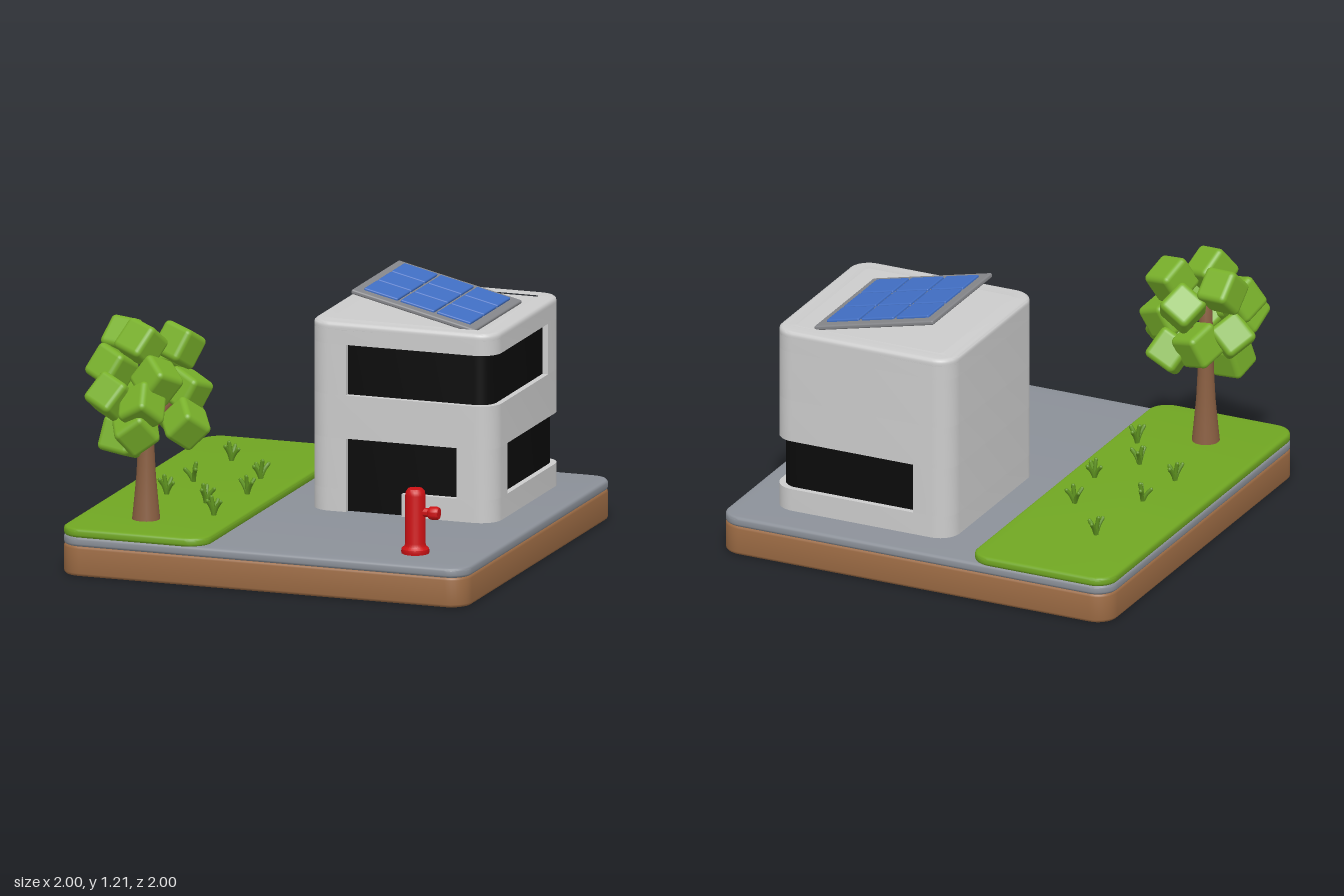
import * as THREE from 'three';
import { toCreasedNormals } from 'three/addons/utils/BufferGeometryUtils.js';
import { RoundedBoxGeometry } from 'three/addons/geometries/RoundedBoxGeometry.js';

const mat = (color) => new THREE.MeshStandardMaterial({ color });
const M = {
  earth: mat(0x9c6b44), paving: mat(0x8b9098), lawn: mat(0x70a622), leaf: mat(0x78b02a),
  blade: mat(0x5f9420), bark: mat(0x8a5f42), wall: mat(0xcccccc), glass: mat(0x0a0a0a),
  frame: mat(0x85868a), cell: mat(0x416fc4), red: mat(0xcc1114),
};

let seed = 7;
const rand = () => (seed = (seed * 16807) % 2147483647) / 2147483647;

function add(parent, name, geometry, material, x = 0, y = 0, z = 0) {
  const mesh = new THREE.Mesh(geometry, material);
  mesh.name = name;
  mesh.position.set(x, y, z);
  parent.add(mesh);
  return mesh;
}

// Plan outline from [x, z, cornerRadius] points
function outline(points, Type = THREE.Shape) {
  const path = new Type();
  points.forEach(([x, z, r = 0], i) => {
    const p = new THREE.Vector2(x, -z);
    const toward = ([nx, nz], d) =>
      new THREE.Vector2(nx, -nz).sub(p).normalize().multiplyScalar(d).add(p);
    const prev = points[(i + points.length - 1) % points.length];
    const next = points[(i + 1) % points.length];
    const a = toward(prev, r), b = toward(next, r);
    if (i) path.lineTo(a.x, a.y); else path.moveTo(a.x, a.y);
    if (r) {
      const c = toward(prev, r * 0.4477), d = toward(next, r * 0.4477);
      path.bezierCurveTo(c.x, c.y, d.x, d.y, b.x, b.y);
    }
  });
  path.closePath();
  return path;
}

const rect = (x0, x1, z0, z1, r) => [[x0, z0, r], [x1, z0, r], [x1, z1, r], [x0, z1, r]];

// Plan shape raised from y0 to y1, with optional rounded edges
function slab(shape, y0, y1, bevel = 0) {
  const g = new THREE.ExtrudeGeometry(shape, {
    depth: y1 - y0 - 2 * bevel, curveSegments: 10, bevelEnabled: bevel > 0,
    bevelSize: bevel, bevelThickness: bevel, bevelOffset: -bevel, bevelSegments: 3,
  });
  g.translate(0, 0, bevel).rotateX(-Math.PI / 2).translate(0, y0, 0);
  return toCreasedNormals(g, 0.6);
}

function ground() {
  const g = new THREE.Group();
  g.name = 'ground';
  add(g, 'earth', slab(outline(rect(-1, 1, -1, 1, 0.1)), 0, 0.145, 0.015), M.earth);
  add(g, 'paving', slab(outline(rect(-1, 1, -1, 1, 0.1)), 0.14, 0.187, 0.014), M.paving);
  add(g, 'lawn', slab(outline(rect(-1, -0.28, -1, 1, 0.1)), 0.182, 0.225, 0.014), M.lawn);
  return g;
}

function building() {
  const g = new THREE.Group();
  g.name = 'building';
  const L = -0.1, R = 0.815, B = -0.815, F = 0.1, r = 0.1;
  const wall = (name, pts, y0, y1) => add(g, name, slab(outline(pts), y0, y1), M.wall);
  const full = rect(L, R, B, F, r);

  add(g, 'glass', slab(outline(rect(L + 0.028, R - 0.028, B + 0.028, F - 0.028, 0.08)), 0.187, 1.0), M.glass);

  // Plinth with the doorway cut into the front
  wall('plinth', [[L, B, r], [R, B, r], [R, F, r], [0.36, F], [0.36, 0.03], [0.085, 0.03], [0.085, F], [L, F, r]], 0.187, 0.295);
  // Lower storey: window wraps round the back corner
  wall('lowerWall', [[0.085, F], [L, F, r], [L, B, r], [0.09, B], [0.09, -0.7], [0.085, 0]], 0.295, 0.535);
  wall('cornerPier', [[R, -0.08], [R, F, r], [0.63, F], [0.63, 0], [0.7, -0.08]], 0.295, 0.535);
  wall('middleBand', full, 0.535, 0.74);
  // Upper storey: window wraps round the front corner
  wall('upperWall', [[0.085, F], [L, F, r], [L, B, r], [R, B, r], [R, -0.62], [0.7, -0.62], [0.085, 0]], 0.74, 0.98);
  wall('roof', full, 0.98, 1.055);

  const rim = outline(full);
  rim.holes.push(outline(rect(L + 0.065, R - 0.065, B + 0.065, F - 0.065, 0.04), THREE.Path));
  add(g, 'parapet', slab(rim, 1.03, 1.082, 0.018), M.wall);
  return g;
}

function solarPanel() {
  const g = new THREE.Group();
  g.name = 'solarPanel';
  add(g, 'panelFrame', new RoundedBoxGeometry(0.626, 0.022, 0.63, 2, 0.008), M.frame);
  for (let i = -1; i <= 1; i++)
    for (let j = -1; j <= 1; j++)
      add(g, 'solarCell', new RoundedBoxGeometry(0.17, 0.02, 0.17, 2, 0.006), M.cell, i * 0.184, 0.012, j * 0.182);
  g.position.set(0.362, 1.128, -0.36);
  g.rotation.z = -0.228;
  return g;
}

function tree() {
  const g = new THREE.Group();
  g.name = 'tree';
  const profile = [[0.066, 0], [0.056, 0.1], [0.045, 0.22], [0.037, 0.38], [0.036, 0.5], [0.028, 0.7], [0, 0.72]];
  add(g, 'trunk', new THREE.LatheGeometry(profile.map(([a, b]) => new THREE.Vector2(a, b)), 16), M.bark, -0.68, 0.215, 0.69);
  const limb = (x, y, z) => {
    const path = new THREE.LineCurve3(new THREE.Vector3(-0.68, 0.62, 0.69), new THREE.Vector3(x, y, z));
    add(g, 'branch', new THREE.TubeGeometry(path, 1, 0.022, 8), M.bark);
  };
  limb(-0.82, 0.84, 0.75);
  limb(-0.53, 0.83, 0.68);
  limb(-0.65, 0.9, 0.53);
  // Rounded leaf blocks, each tumbled
  const leaves = [
    [-0.82, 1.04, 0.58], [-0.69, 1.065, 0.73], [-0.55, 1.04, 0.6], [-0.83, 0.94, 0.74],
    [-0.65, 0.95, 0.51], [-0.79, 0.83, 0.86], [-0.59, 0.91, 0.79], [-0.63, 0.8, 0.88],
    [-0.5, 0.84, 0.64], [-0.76, 0.63, 0.79], [-0.46, 0.71, 0.76], [-0.56, 0.7, 0.56],
    [-0.83, 0.79, 0.66], [-0.71, 0.76, 0.55], [-0.66, 0.69, 0.88],
  ];
  const block = new RoundedBoxGeometry(0.165, 0.165, 0.165, 3, 0.026);
  for (const [x, y, z] of leaves) {
    const leaf = add(g, 'leafBlock', block, M.leaf, x, y, z);
    leaf.rotation.set(0.35 + rand() * 0.45, rand() * 1.5, 0.3 + rand() * 0.4);
  }
  return g;
}

function grassTuft(x, z) {
  const g = new THREE.Group();
  g.name = 'grassTuft';
  const turn = rand() * 6;
  for (let i = 0; i < 4; i++) {
    const a = turn + i * 1.75, h = i ? 0.055 + rand() * 0.02 : 0.085, out = i ? 0.04 : 0.012;
    const c = Math.cos(a), s = Math.sin(a);
    const path = new THREE.QuadraticBezierCurve3(
      new THREE.Vector3(0, -0.005, 0), new THREE.Vector3(c * out * 0.3, h * 0.6, s * out * 0.3),
      new THREE.Vector3(c * out, h, s * out));
    add(g, 'blade', new THREE.TubeGeometry(path, 4, 0.01, 6), M.blade);
    add(g, 'bladeTip', new THREE.SphereGeometry(0.01, 6, 4), M.blade, c * out, h, s * out);
  }
  g.position.set(x, 0.225, z);
  return g;
}

function hydrant() {
  const g = new THREE.Group();
  g.name = 'hydrant';
  const turned = (pts) => toCreasedNormals(
    new THREE.LatheGeometry(pts.map(([a, b]) => new THREE.Vector2(a, b)), 24), 0.7);
  add(g, 'hydrantBody', turned([[0, 0], [0.064, 0], [0.066, 0.008], [0.064, 0.022], [0.05, 0.034], [0.047, 0.05],
    [0.047, 0.275], [0.044, 0.293], [0.034, 0.305], [0, 0.309]]), M.red);
  const nozzle = add(g, 'nozzle', turned([[0, 0], [0.021, 0], [0.021, 0.065], [0.029, 0.072],
    [0.031, 0.08], [0.031, 0.108], [0.026, 0.117], [0, 0.119]]), M.red, 0, 0.195, 0);
  nozzle.rotation.z = -Math.PI / 2;
  g.position.set(0.667, 0.187, 0.75);
  return g;
}

export function createModel() {
  const model = new THREE.Group();
  model.name = 'houseDiorama';
  model.add(ground(), building(), solarPanel(), tree(), hydrant());
  const tufts = [[-0.71, -0.53], [-0.46, -0.24], [-0.73, -0.08], [-0.41, 0.07], [-0.76, 0.2], [-0.53, 0.3], [-0.41, 0.52]];
  for (const [x, z] of tufts) model.add(grassTuft(x, z));
  return model;
}
